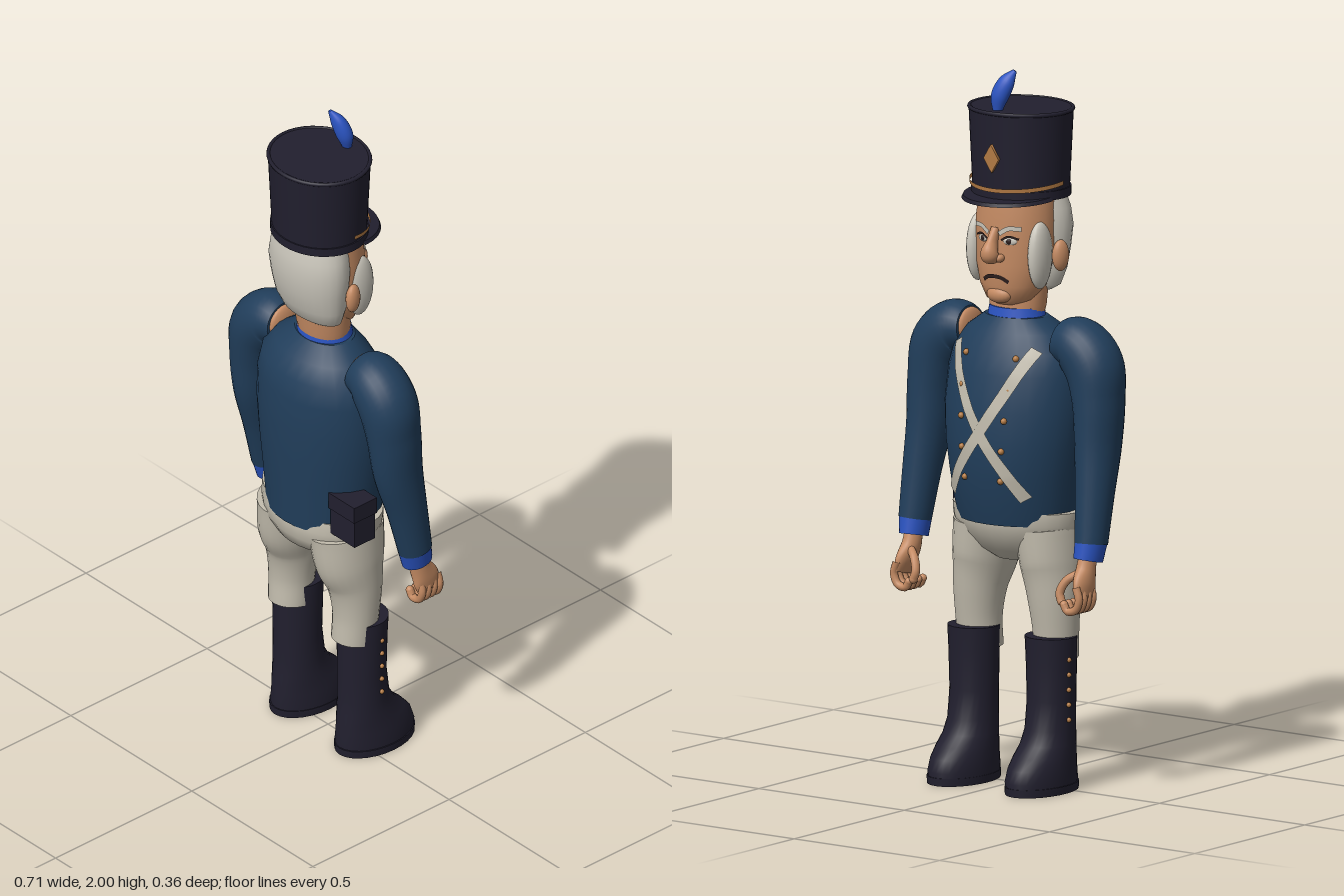
import * as THREE from 'three';

const mat = (name, color, side = THREE.FrontSide) => {
  const m = new THREE.MeshStandardMaterial({ color, side });
  m.name = name;
  return m;
};
const V = (x, y, z) => new THREE.Vector3(x, y, z);

// Skin over elliptical rings; each ring is { c, u, v } (centre and two half-axes)
function skin(rings, n = 28) {
  const pos = [], idx = [];
  const ringPts = (r) => {
    for (let j = 0; j < n; j++) {
      const a = (j / n) * Math.PI * 2;
      const p = r.c.clone().addScaledVector(r.u, Math.cos(a)).addScaledVector(r.v, Math.sin(a));
      pos.push(p.x, p.y, p.z);
    }
  };
  rings.forEach(ringPts);
  for (let i = 0; i < rings.length - 1; i++) {
    for (let j = 0; j < n; j++) {
      const k = (j + 1) % n, a = i * n + j, b = i * n + k, c = a + n, d = b + n;
      idx.push(a, c, b, b, c, d);
    }
  }
  // flat end caps with their own corners
  [rings[0], rings[rings.length - 1]].forEach((r, end) => {
    const base = pos.length / 3;
    ringPts(r);
    pos.push(r.c.x, r.c.y, r.c.z);
    for (let j = 0; j < n; j++) {
      const a = base + j, b = base + ((j + 1) % n);
      if (end) idx.push(base + n, b, a); else idx.push(base + n, a, b);
    }
  });
  const g = new THREE.BufferGeometry();
  g.setAttribute('position', new THREE.Float32BufferAttribute(pos, 3));
  g.setIndex(idx);
  g.computeVertexNormals();
  return g;
}

// Upright body from level sections [y, zFront, zBack, halfWidth, centreX]
const body = (secs) => skin(secs.map(([y, zf, zb, w, x = 0]) => ({
  c: V(x, y, (zf + zb) / 2), u: V(w, 0, 0), v: V(0, 0, (zb - zf) / 2),
})));

// Limb along a curve from sections [x, y, z, radius, depthRadius]
function limb(secs, s = 1, steps = 24) {
  const path = new THREE.CatmullRomCurve3(secs.map((p) => V(p[0] * s, p[1], p[2])));
  const radii = new THREE.CatmullRomCurve3(secs.map((p, i) => V(p[3], p[4], i * 0.05)));
  const rings = [];
  for (let i = 0; i <= steps; i++) {
    const t = path.getTangent(i / steps), r = radii.getPoint(i / steps);
    const u = t.clone().cross(V(0, 0, 1)).normalize();
    const v = u.clone().cross(t).normalize();
    rings.push({ c: path.getPoint(i / steps), u: u.multiplyScalar(r.x), v: v.multiplyScalar(r.y) });
  }
  return skin(rings, 24);
}

// Front surface (facing -z) of a body at x, y
function frontZ(secs, x, y) {
  let i = 0;
  while (i < secs.length - 2 && secs[i + 1][0] < y) i++;
  const f = (y - secs[i][0]) / (secs[i + 1][0] - secs[i][0]);
  const [zf, zb, w] = [1, 2, 3].map((k) => THREE.MathUtils.lerp(secs[i][k], secs[i + 1][k], f));
  return (zf + zb) / 2 - ((zb - zf) / 2) * Math.sqrt(Math.max(0, 1 - (x / w) ** 2));
}

// Flat band laid on the front of a body through points [x, y]
function band(secs, pts, width, lift) {
  const curve = new THREE.CatmullRomCurve3(pts.map(([x, y]) => V(x, y, 0)));
  const pos = [], idx = [], n = 32;
  for (let i = 0; i <= n; i++) {
    const p = curve.getPoint(i / n), t = curve.getTangent(i / n);
    for (const k of [-0.5, 0, 0.5]) {
      const x = p.x - t.y * width * k, y = p.y + t.x * width * k;
      pos.push(x, y, frontZ(secs, x, y) - lift);
    }
    if (i < n) {
      for (let k = 0; k < 2; k++) {
        const a = i * 3 + k;
        idx.push(a, a + 1, a + 3, a + 1, a + 4, a + 3);
      }
    }
  }
  const g = new THREE.BufferGeometry();
  g.setAttribute('position', new THREE.Float32BufferAttribute(pos, 3));
  g.setIndex(idx);
  g.computeVertexNormals();
  return g;
}

export function createModel() {
  const root = new THREE.Group();
  const coat = mat('navy coat', 0x213e5b), black = mat('black leather', 0x211f2e);
  const blue = mat('bright blue', 0x2a53c0), skinTone = mat('skin', 0xc58b63);
  const linen = mat('linen', 0xc2bcad, THREE.DoubleSide), hair = mat('white hair', 0xcbc7bc, THREE.DoubleSide);
  const gold = mat('brass', 0xb57c45, THREE.DoubleSide), ink = mat('dark line', 0x2b1d1c, THREE.DoubleSide);

  const add = (name, geo, m, p = [0, 0, 0], sc = [1, 1, 1], rot = [0, 0, 0]) => {
    const mesh = new THREE.Mesh(geo, m);
    mesh.name = name;
    mesh.position.set(...p);
    mesh.scale.set(...sc);
    mesh.rotation.set(...rot);
    root.add(mesh);
    return mesh;
  };
  const ball = new THREE.SphereGeometry(1, 20, 14);

  // Coat
  const torso = [
    [0.74, -0.125, 0.16, 0.175], [0.8, -0.14, 0.163, 0.185], [0.88, -0.153, 0.168, 0.195],
    [0.96, -0.158, 0.172, 0.207], [1.06, -0.153, 0.175, 0.215], [1.16, -0.135, 0.172, 0.21],
    [1.22, -0.115, 0.16, 0.195], [1.27, -0.09, 0.132, 0.155], [1.31, -0.062, 0.085, 0.095],
  ];
  add('coat', body(torso), coat);
  add('collar', body([[1.26, -0.07, 0.09, 0.1], [1.3, -0.062, 0.085, 0.086], [1.335, -0.055, 0.08, 0.08]]), blue);

  // Crossed belts and cartridge box
  for (const s of [-1, 1]) {
    add('crossBelt', band(torso, [[s * 0.135, 1.235], [s * 0.07, 1.11], [0, 1.0], [-s * 0.08, 0.89], [-s * 0.125, 0.82]],
      0.034, s > 0 ? 0.006 : 0.009), linen);
    for (let i = 0; i < 5; i++) {
      const x = s * (0.085 - i * 0.006), y = 1.21 - i * 0.085;
      add('coatButton', ball, gold, [x, y, frontZ(torso, x, y)], [0.009, 0.009, 0.009]);
    }
  }
  add('cartridgeBox', new THREE.BoxGeometry(0.1, 0.125, 0.075), black, [0.192, 0.815, 0.08]);
  add('cartridgeBoxFlap', new THREE.BoxGeometry(0.106, 0.05, 0.083), black, [0.192, 0.86, 0.08]);

  // Trousers seat
  add('trousersSeat', body([
    [0.63, -0.04, 0.09, 0.06], [0.66, -0.075, 0.135, 0.14], [0.7, -0.1, 0.154, 0.19],
    [0.74, -0.115, 0.157, 0.2], [0.775, -0.112, 0.15, 0.203],
  ]), linen);

  for (const s of [-1, 1]) {
    // Leg and boot
    add('trouserLeg', limb([
      [0.13, 0.365, 0.022, 0.062, 0.062], [0.132, 0.45, 0.015, 0.065, 0.066], [0.127, 0.54, 0.015, 0.074, 0.08],
      [0.117, 0.62, 0.025, 0.085, 0.105], [0.105, 0.72, 0.028, 0.092, 0.115],
    ], s), linen);
    add('boot', body([
      [0, -0.176, 0.074, 0.08], [0.035, -0.18, 0.075, 0.081], [0.07, -0.168, 0.072, 0.078], [0.1, -0.142, 0.07, 0.075],
      [0.13, -0.108, 0.066, 0.072], [0.17, -0.085, 0.063, 0.069], [0.25, -0.074, 0.062, 0.068],
      [0.36, -0.076, 0.063, 0.071], [0.428, -0.08, 0.064, 0.073],
    ].map((r) => [...r, s * 0.133])), black);
    add('bootSole', body([[0, -0.18, 0.077, 0.082, s * 0.134], [0.022, -0.181, 0.078, 0.083, s * 0.134]]), black);
    for (let i = 0; i < 5; i++) {
      add('bootButton', ball, gold, [s * 0.202, 0.2 + i * 0.042, -0.018], [0.007, 0.007, 0.007]);
    }

    // Sleeve, cuff and bare shoulder edge
    add('sleeve', limb([
      [0.16, 1.25, 0.015, 0.062, 0.066], [0.212, 1.245, 0.015, 0.079, 0.08], [0.262, 1.195, 0.015, 0.084, 0.084],
      [0.283, 1.1, 0.01, 0.07, 0.08], [0.289, 0.98, 0, 0.061, 0.074], [0.297, 0.85, -0.025, 0.052, 0.06],
      [0.303, 0.71, -0.05, 0.044, 0.05],
    ], s, 36), coat);
    add('shoulder', ball, skinTone, [s * 0.163, 1.252, 0.015], [0.018, 0.055, 0.058]);
    add('cuff', limb([[0.302, 0.725, -0.047, 0.044, 0.05], [0.3, 0.665, -0.06, 0.038, 0.046]], s, 4), blue);

    // Hand with curled fingers
    add('palm', limb([
      [0.3, 0.69, -0.058, 0.022, 0.026], [0.3, 0.64, -0.07, 0.025, 0.032], [0.306, 0.6, -0.086, 0.021, 0.043],
      [0.312, 0.565, -0.094, 0.013, 0.04],
    ], s), skinTone);
    const digit = (name, pts, r) => {
      const curve = new THREE.CatmullRomCurve3(pts.map(([x, y, z]) => V(s * x, y, z)));
      add(name, new THREE.TubeGeometry(curve, 16, r, 10), skinTone);
      const tip = pts[pts.length - 1];
      add(name + 'Tip', ball, skinTone, [s * tip[0], tip[1], tip[2]], [r, r, r]);
    };
    for (let i = 0; i < 4; i++) {
      const z = -0.063 - i * 0.021;
      digit('finger', [[0.308, 0.6, z], [0.318, 0.565, z], [0.305, 0.536, z], [0.278, 0.531, z], [0.267, 0.548, z]], 0.0115);
    }
    digit('thumb', [[0.295, 0.635, -0.085], [0.262, 0.612, -0.108], [0.248, 0.578, -0.12], [0.255, 0.555, -0.122]], 0.012);
  }

  // Head and neck
  const face = [
    [1.345, -0.055, 0.03, 0.045], [1.36, -0.075, 0.05, 0.072], [1.4, -0.085, 0.08, 0.098], [1.46, -0.09, 0.1, 0.114],
    [1.52, -0.088, 0.11, 0.119], [1.58, -0.09, 0.115, 0.119], [1.65, -0.082, 0.12, 0.112],
  ];
  add('neck', body([[1.29, -0.05, 0.075, 0.075], [1.34, -0.05, 0.085, 0.085], [1.43, -0.045, 0.095, 0.09]]), skinTone);
  add('face', body(face), skinTone);
  add('hair', body([
    [1.38, 0.02, 0.092, 0.085], [1.395, 0.008, 0.11, 0.11], [1.44, -0.005, 0.132, 0.125], [1.5, -0.015, 0.148, 0.132],
    [1.56, -0.02, 0.156, 0.138], [1.61, -0.02, 0.153, 0.13], [1.65, -0.02, 0.145, 0.115],
  ]), hair);
  add('nose', limb([
    [0, 1.565, -0.086, 0.012, 0.01], [0, 1.525, -0.1, 0.015, 0.02], [0, 1.495, -0.112, 0.025, 0.026],
    [0, 1.475, -0.1, 0.022, 0.016],
  ]), skinTone);
  add('chin', ball, skinTone, [0, 1.375, -0.068], [0.04, 0.024, 0.022]);
  add('mouth', band(face, [[-0.042, 1.415], [-0.02, 1.427], [0.02, 1.427], [0.042, 1.415]], 0.011, 0.003), ink);
  for (const s of [-1, 1]) {
    const eyeZ = frontZ(face, 0.047, 1.53);
    add('sideburn', ball, hair, [s * 0.106, 1.49, -0.022], [0.025, 0.095, 0.046]);
    add('ear', ball, skinTone, [s * 0.137, 1.485, 0.03], [0.018, 0.044, 0.026], [0, s * 0.3, 0]);
    add('nostril', ball, skinTone, [s * 0.022, 1.483, -0.096], [0.013, 0.012, 0.016]);
    add('eyeWhite', ball, hair, [s * 0.047, 1.53, eyeZ], [0.02, 0.01, 0.004], [0, s * -0.35, 0]);
    add('pupil', ball, ink, [s * 0.045, 1.53, eyeZ - 0.003], [0.008, 0.008, 0.004], [0, s * -0.35, 0]);
    add('eyelid', band(face, [[s * 0.024, 1.533], [s * 0.046, 1.544], [s * 0.072, 1.537]], 0.006, 0.005), ink);
    add('eyebrow', band(face, [[s * 0.018, 1.55], [s * 0.045, 1.566], [s * 0.078, 1.566]], 0.013, 0.006), hair);
  }

  // Tall hat with peak, cord, badge and plume
  const oval = [1, 1, 0.9];
  add('hatCrown', new THREE.CylinderGeometry(0.15, 0.138, 0.242, 40), black, [0, 1.767, 0.032], oval);
  add('hatTopRim', new THREE.TorusGeometry(0.148, 0.006, 8, 40), black, [0, 1.885, 0.032], [1, 0.9, 1], [Math.PI / 2, 0, 0]);
  add('hatBand', new THREE.CylinderGeometry(0.143, 0.143, 0.025, 40), black, [0, 1.657, 0.032], oval);
  add('hatPeak', new THREE.CylinderGeometry(0.135, 0.14, 0.01, 32, 1, false, Math.PI / 2, Math.PI),
    black, [0, 1.648, -0.01], [1, 1, 0.98], [-0.07, 0, 0]);
  add('hatCord', new THREE.CylinderGeometry(0.146, 0.146, 0.012, 32, 1, true, Math.PI / 2, Math.PI),
    gold, [0, 1.689, 0.032], [1, 1, 0.93], [-0.13, 0, 0]);
  add('hatBadge', new THREE.CylinderGeometry(0.04, 0.04, 0.008, 4), gold, [0, 1.76, -0.102], [0.65, 1, 1], [Math.PI / 2 - 0.045, 0, 0]);
  add('plume', limb([
    [0.014, 1.885, -0.058, 0.014, 0.012], [0.01, 1.925, -0.052, 0.026, 0.022], [-0.006, 1.965, -0.042, 0.024, 0.019],
    [-0.024, 1.997, -0.028, 0.006, 0.005],
  ]), blue);

  return root;
}
